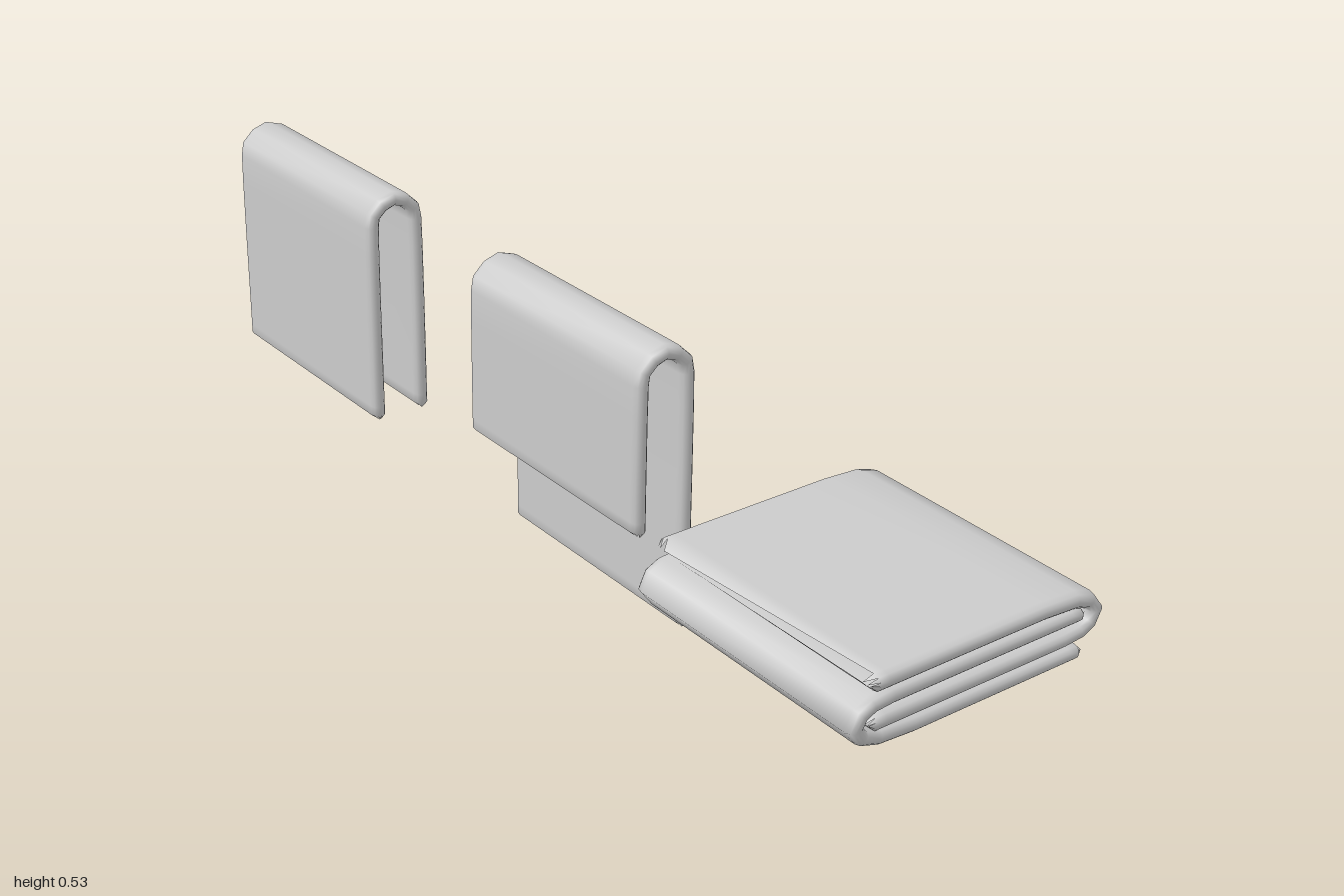
import * as THREE from 'three';

const HALF_THICK = 0.0132;
const HALF_WIDTH = 0.24;

// Closed cross-section of the cloth as [x, thickness factor], counter-clockwise
function clothSection() {
  const edge = [[0.224, -1], [0.234, -0.82], [0.239, -0.45], [0.24, 0], [0.239, 0.45], [0.234, 0.82], [0.224, 1]];
  const mirrored = edge.map(([x, n]) => [-x, -n]);
  return [...edge, ...mirrored];
}

// Sweeps the cloth section along a [z, y] path whose two ends taper to a wedge
function foldedCloth(path) {
  const section = clothSection();
  const pts = path.map(([z, y]) => new THREE.Vector2(z, y));
  // extra rows close to each end for the wedge
  const toward = (a, b, d) => b.clone().sub(a).setLength(d).add(a);
  const n = pts.length;
  const rows = [
    pts[0], toward(pts[0], pts[1], 0.012), toward(pts[0], pts[1], 0.03),
    ...pts.slice(1, -1),
    toward(pts[n - 1], pts[n - 2], 0.03), toward(pts[n - 1], pts[n - 2], 0.012), pts[n - 1],
  ];
  const positions = [];
  const index = [];
  const last = rows.length - 1;
  const count = section.length;
  rows.forEach((p, i) => {
    const before = p.clone().sub(rows[Math.max(i - 1, 0)]).normalize();
    const after = rows[Math.min(i + 1, last)].clone().sub(p).normalize();
    const t = before.add(after).normalize();
    const tip = i === 0 || i === last;
    const h = tip ? 0 : HALF_THICK;
    for (const [x, f] of section) {
      const sx = tip ? x * (HALF_WIDTH - 0.008) / HALF_WIDTH : x;
      positions.push(sx, p.y + t.x * f * h, p.x - t.y * f * h);
    }
  });
  for (let i = 0; i < last; i++) {
    for (let j = 0; j < count; j++) {
      const k = (j + 1) % count;
      const a = i * count + j, b = i * count + k;
      const c = b + count, d = a + count;
      if (i === 0) index.push(a, c, d);
      else if (i === last - 1) index.push(a, b, d);
      else index.push(a, b, c, a, c, d);
    }
  }
  const geometry = new THREE.BufferGeometry();
  geometry.setAttribute('position', new THREE.Float32BufferAttribute(positions, 3));
  geometry.setIndex(index);
  geometry.computeVertexNormals();
  return geometry;
}

// Path of a cloth draped over a rail, given the heights of its two hems
function drapedPath(frontHem, backHem) {
  const frontHalf = [[0.047, 0.3], [0.0465, 0.42], [0.0455, 0.475], [0.042, 0.496], [0.024, 0.513]];
  const backHalf = frontHalf.map(([z, y]) => [-z, y]).reverse();
  return [[0.047, frontHem], ...frontHalf, [0, 0.521], ...backHalf, [-0.047, backHem]];
}

export function createModel() {
  const group = new THREE.Group();
  const material = new THREE.MeshStandardMaterial({ color: 0xcccccc });
  const add = (name, path, x) => {
    const mesh = new THREE.Mesh(foldedCloth(path), material);
    mesh.name = name;
    mesh.position.x = x;
    group.add(mesh);
  };

  // Two hanging towels, one even and one with a longer back
  add('evenHangingTowel', drapedPath(0.088, 0.088), -0.76);
  add('unevenHangingTowel', drapedPath(0.203, 0.002), 0.04);

  // Flat towel: two interleaved folds, the second turned half a turn about its centre
  const fold = [
    [0.207, 0.358], [0, 0.358], [-0.12, 0.358], [-0.185, 0.354], [-0.214, 0.345],
    [-0.229, 0.327], [-0.219, 0.307], [-0.2, 0.298], [-0.165, 0.295], [0, 0.295], [0.207, 0.295],
  ];
  add('foldedTowelUpper', fold, 0.755);
  add('foldedTowelLower', fold.map(([z, y]) => [-z, 0.624 - y]), 0.755);
  return group;
}
